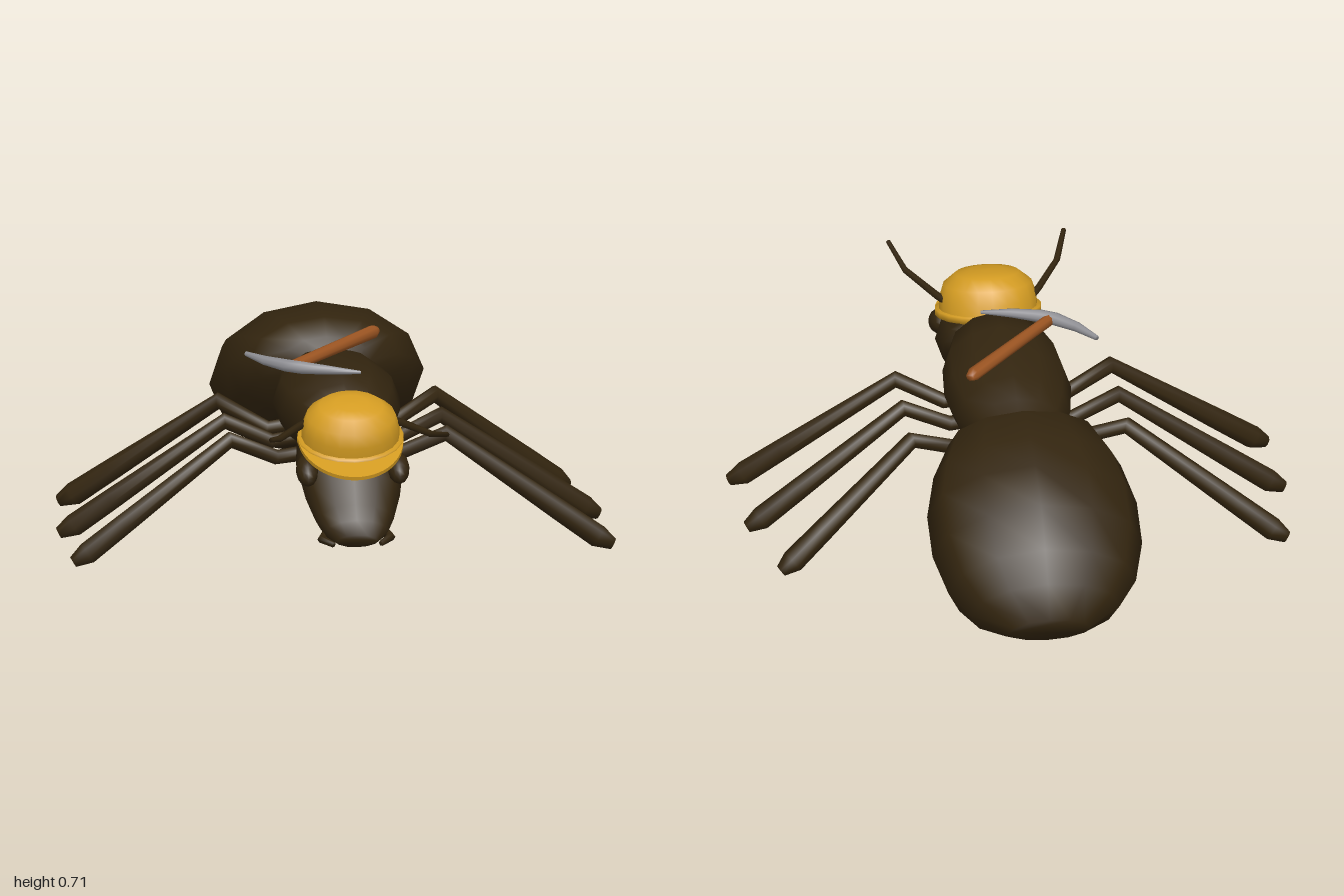
import * as THREE from 'three';

const mat = (name, color) => Object.assign(new THREE.MeshStandardMaterial({ color }), { name });
const V = (x, y, z) => new THREE.Vector3(x, y, z);

// Closed skin over rings of points, all with the same count
function skin(rings) {
  const n = rings[0].length, last = rings.length - 1, pos = [], idx = [];
  rings.forEach(r => r.forEach(p => pos.push(p.x, p.y, p.z)));
  for (let i = 0; i < last; i++) {
    for (let j = 0; j < n; j++) {
      const k = (j + 1) % n, a = i * n + j, b = i * n + k;
      idx.push(a, b, a + n, b, b + n, a + n);
    }
  }
  for (let j = 1; j < n - 1; j++) {
    idx.push(0, j + 1, j, last * n, last * n + j, last * n + j + 1);
  }
  const g = new THREE.BufferGeometry();
  g.setAttribute('position', new THREE.Float32BufferAttribute(pos, 3));
  g.setIndex(idx);
  g.computeVertexNormals();
  return g;
}

// Body loft, rear to front: [zTop, yTop, zBottom, yBottom, halfWidth]
function loft(sections, sides = 12) {
  return skin(sections.map(([zt, yt, zb, yb, w]) => Array.from({ length: sides }, (_, j) => {
    const a = j / sides * Math.PI * 2, s = Math.sin(a) / 2;
    return V(Math.cos(a) * w, (yt + yb) / 2 + s * (yt - yb), (zt + zb) / 2 + s * (zt - zb));
  })));
}

// Round limb along points with a radius at each
function limb(points, radii, sides = 8) {
  return skin(points.map((p, i) => {
    const before = points[Math.max(i - 1, 0)], after = points[Math.min(i + 1, points.length - 1)];
    const t = V(0, 0, 0);
    if (before !== p) t.add(p.clone().sub(before).normalize());
    if (after !== p) t.add(after.clone().sub(p).normalize());
    t.normalize();
    const u = V(0, 1, 0).cross(t).normalize(), v = t.clone().cross(u);
    return Array.from({ length: sides }, (_, j) => {
      const a = j / sides * Math.PI * 2;
      return p.clone().addScaledVector(u, Math.cos(a) * radii[i]).addScaledVector(v, Math.sin(a) * radii[i]);
    });
  }));
}

export function createModel() {
  const brown = mat('dark brown shell', 0x33250f);
  const gold = mat('helmet yellow', 0xd49c22);
  const wood = mat('handle wood', 0x9c5522);
  const steel = mat('grey steel', 0x8f8f94);

  const model = new THREE.Group();
  model.name = 'minerAnt';
  const body = new THREE.Group();
  body.name = 'body';
  body.position.x = 0.015;
  model.add(body);
  const add = (parent, name, geometry, material) => {
    const m = new THREE.Mesh(geometry, material);
    m.name = name;
    parent.add(m);
    return m;
  };

  // Abdomen, thorax and head
  add(body, 'abdomen', loft([
    [-0.998, 0.20, -0.93, 0.08, 0.15], [-0.945, 0.32, -0.80, 0.015, 0.27],
    [-0.87, 0.42, -0.70, 0.012, 0.34], [-0.76, 0.54, -0.55, 0.05, 0.38],
    [-0.60, 0.615, -0.42, 0.14, 0.38], [-0.46, 0.65, -0.30, 0.27, 0.34],
    [-0.29, 0.662, -0.23, 0.38, 0.27], [-0.22, 0.61, -0.20, 0.43, 0.16],
    [-0.18, 0.56, -0.18, 0.44, 0.11],
  ]), brown);
  add(body, 'thorax', loft([
    [-0.21, 0.57, -0.21, 0.43, 0.13], [-0.16, 0.57, -0.16, 0.44, 0.125],
    [-0.11, 0.605, -0.12, 0.39, 0.165], [0, 0.64, -0.04, 0.325, 0.205],
    [0.15, 0.66, 0.13, 0.325, 0.23], [0.30, 0.67, 0.30, 0.335, 0.215],
    [0.43, 0.655, 0.42, 0.37, 0.175], [0.475, 0.575, 0.47, 0.41, 0.115],
    [0.53, 0.57, 0.52, 0.42, 0.12],
  ]), brown);
  add(body, 'head', loft([
    [0.49, 0.56, 0.48, 0.43, 0.11], [0.54, 0.585, 0.53, 0.37, 0.18],
    [0.68, 0.58, 0.62, 0.28, 0.195], [0.79, 0.45, 0.73, 0.22, 0.17],
    [0.87, 0.345, 0.80, 0.20, 0.14], [0.915, 0.30, 0.87, 0.195, 0.115],
    [0.935, 0.25, 0.92, 0.20, 0.075],
  ]), brown);

  // Paired features of the head
  for (const s of [-1, 1]) {
    const eye = add(body, 'eye', new THREE.SphereGeometry(1, 12, 8), brown);
    eye.scale.set(0.04, 0.045, 0.07);
    eye.position.set(s * 0.165, 0.44, 0.755);
    eye.rotation.x = 0.45;
    add(body, 'antenna', limb(
      [V(s * 0.14, 0.583, 0.62), V(s * 0.185, 0.588, 0.69), V(s * 0.275, 0.60, 0.86), V(s * 0.318, 0.643, 0.995)],
      [0.014, 0.014, 0.012, 0.009], 6), brown);
    add(body, 'mandible', limb(
      [V(s * 0.10, 0.235, 0.84), V(s * 0.125, 0.225, 0.89), V(s * 0.085, 0.215, 0.93)],
      [0.018, 0.016, 0.010], 6), brown);
  }

  // Legs: [side, hip z, knee z, foot x, foot z]
  const legs = [
    [1, 0.34, 0.375, 0.985, 0.45], [1, 0.18, 0.17, 0.965, 0.11], [1, 0.01, -0.06, 0.885, -0.215],
    [-1, 0.34, 0.375, 0.965, 0.46], [-1, 0.16, 0.165, 0.985, 0.135], [-1, 0.02, -0.06, 0.95, -0.22],
  ];
  for (const [s, hz, kz, fx, fz] of legs) {
    const knee = V(s * 0.39, 0.435, kz), foot = V(s * fx, 0.019, fz);
    const ankle = knee.clone().lerp(foot, 0.91);
    ankle.y = 0.048;
    add(model, 'leg', limb(
      [V(s * 0.08, 0.37, hz), V(s * 0.22, 0.352, hz), knee, knee.clone().lerp(ankle, 0.75), ankle, foot],
      [0.03, 0.028, 0.031, 0.04, 0.043, 0.022]), brown);
  }

  // Hard hat: dome, rim and front visor
  const helmet = new THREE.Group();
  helmet.name = 'helmet';
  helmet.position.set(0, 0.53, 0.668);
  helmet.rotation.x = 0.25;
  body.add(helmet);
  const lathe = pts => new THREE.LatheGeometry(pts.map(p => new THREE.Vector2(...p)), 20);
  add(helmet, 'helmetDome', lathe([[0.178, 0], [0.176, 0.05], [0.16, 0.1], [0.115, 0.137], [0.06, 0.148], [0, 0.15]]), gold)
    .scale.z = 0.88;
  add(helmet, 'helmetRim', lathe([[0.165, -0.012], [0.192, -0.012], [0.192, 0.012], [0.165, 0.012]]), gold)
    .scale.z = 0.89;
  const visorShape = new THREE.Shape();
  visorShape.absellipse(0, 0, 0.19, 0.265, 0, Math.PI, false);
  const visor = add(helmet, 'helmetVisor', new THREE.ExtrudeGeometry(visorShape,
    { depth: 0.014, bevelEnabled: false, curveSegments: 14 }), gold);
  visor.rotation.x = Math.PI / 2;
  visor.position.y = 0.004;

  // Pickaxe lying on the back
  const pickaxe = new THREE.Group();
  pickaxe.name = 'pickaxe';
  model.add(pickaxe);
  add(pickaxe, 'pickaxeHandle', limb(
    [V(0.18, 0.683, -0.062), V(0.165, 0.683, -0.045), V(-0.17, 0.683, 0.315)], [0.016, 0.025, 0.021]), wood);
  add(pickaxe, 'pickaxeHead', limb(
    [V(-0.31, 0.683, 0.15), V(-0.25, 0.684, 0.235), V(-0.18, 0.685, 0.30), V(-0.13, 0.685, 0.328),
      V(-0.03, 0.684, 0.365), V(0.08, 0.681, 0.392)],
    [0.009, 0.018, 0.024, 0.024, 0.017, 0.006]), steel);

  return model;
}
